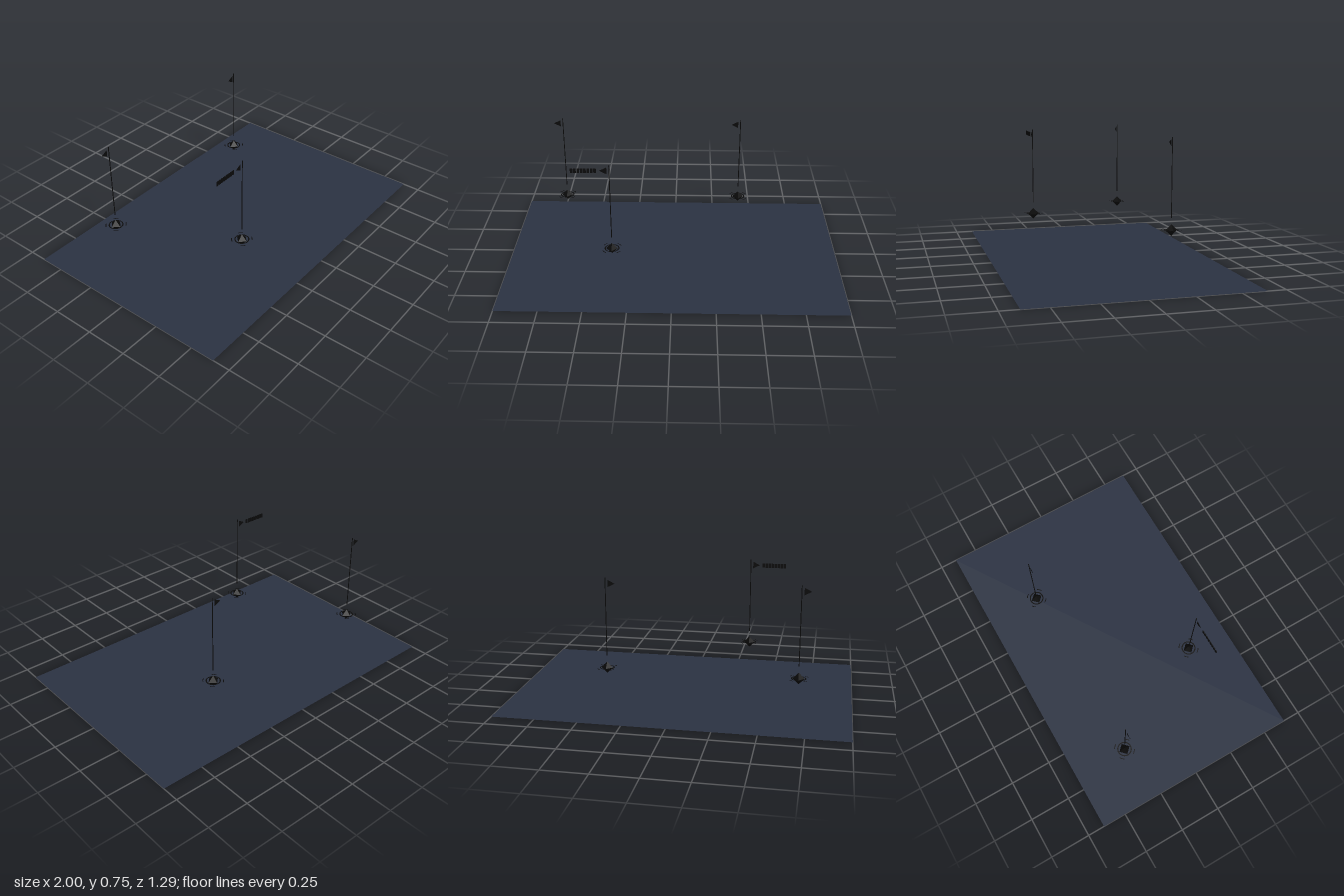
import * as THREE from 'three';

const groundMat = new THREE.MeshStandardMaterial({ color: 0x2b3242, side: THREE.DoubleSide });
const darkMat = new THREE.MeshStandardMaterial({ color: 0x0a0a0a, side: THREE.DoubleSide });
const gemMat = new THREE.MeshStandardMaterial({ color: 0x0a0a0a, flatShading: true });

function add(parent, name, geometry, material, x = 0, y = 0, z = 0) {
  const mesh = new THREE.Mesh(geometry, material);
  mesh.name = name;
  mesh.position.set(x, y, z);
  parent.add(mesh);
  return mesh;
}

// Flat horizontal ring or ring segment
function flatRing(inner, outer, segments, start = 0, length = Math.PI * 2) {
  return new THREE.RingGeometry(inner, outer, segments, 1, start, length).rotateX(-Math.PI / 2);
}

// Floating diamond with target rings, a thin pole and a pennant
function createMarker(x, z) {
  const marker = new THREE.Group();
  marker.name = 'marker';
  marker.position.set(x, 0, z);
  const y = 0.224;

  add(marker, 'diamond', new THREE.OctahedronGeometry(0.034), gemMat, 0, y);
  add(marker, 'innerRing', flatRing(0.036, 0.043, 40), darkMat, 0, y);

  // Four short arcs on the diagonals
  const span = 0.5;
  for (let i = 0; i < 4; i++) {
    const mid = Math.PI / 4 + i * Math.PI / 2;
    add(marker, 'outerArc', flatRing(0.056, 0.061, 8, mid - span / 2, span), darkMat, 0, y);
  }

  add(marker, 'pole', new THREE.CylinderGeometry(0.0025, 0.0025, 0.46, 8), darkMat, 0, 0.525);

  const pennant = new THREE.Shape();
  pennant.moveTo(-0.014, -0.021);
  pennant.lineTo(-0.014, 0.021);
  pennant.lineTo(-0.055, 0);
  add(marker, 'pennant', new THREE.ShapeGeometry(pennant), darkMat, 0, 0.722);
  return marker;
}

export function createModel() {
  const model = new THREE.Group();
  model.name = 'markerField';

  add(model, 'ground', new THREE.PlaneGeometry(2, 1.29).rotateX(-Math.PI / 2), groundMat);

  for (const [x, z] of [[-0.695, -0.33], [0.405, -0.33], [-0.35, 0.325]]) {
    model.add(createMarker(x, z));
  }

  // Row of plain blocks beside the front pennant
  const label = new THREE.Group();
  label.name = 'labelBlocks';
  label.position.set(-0.494, 0.721, 0.325);
  for (let i = 0; i < 8; i++) {
    add(label, 'labelBlock', new THREE.BoxGeometry(0.014, 0.026, 0.004), darkMat, (i - 3.5) * 0.0185);
  }
  model.add(label);

  return model;
}
